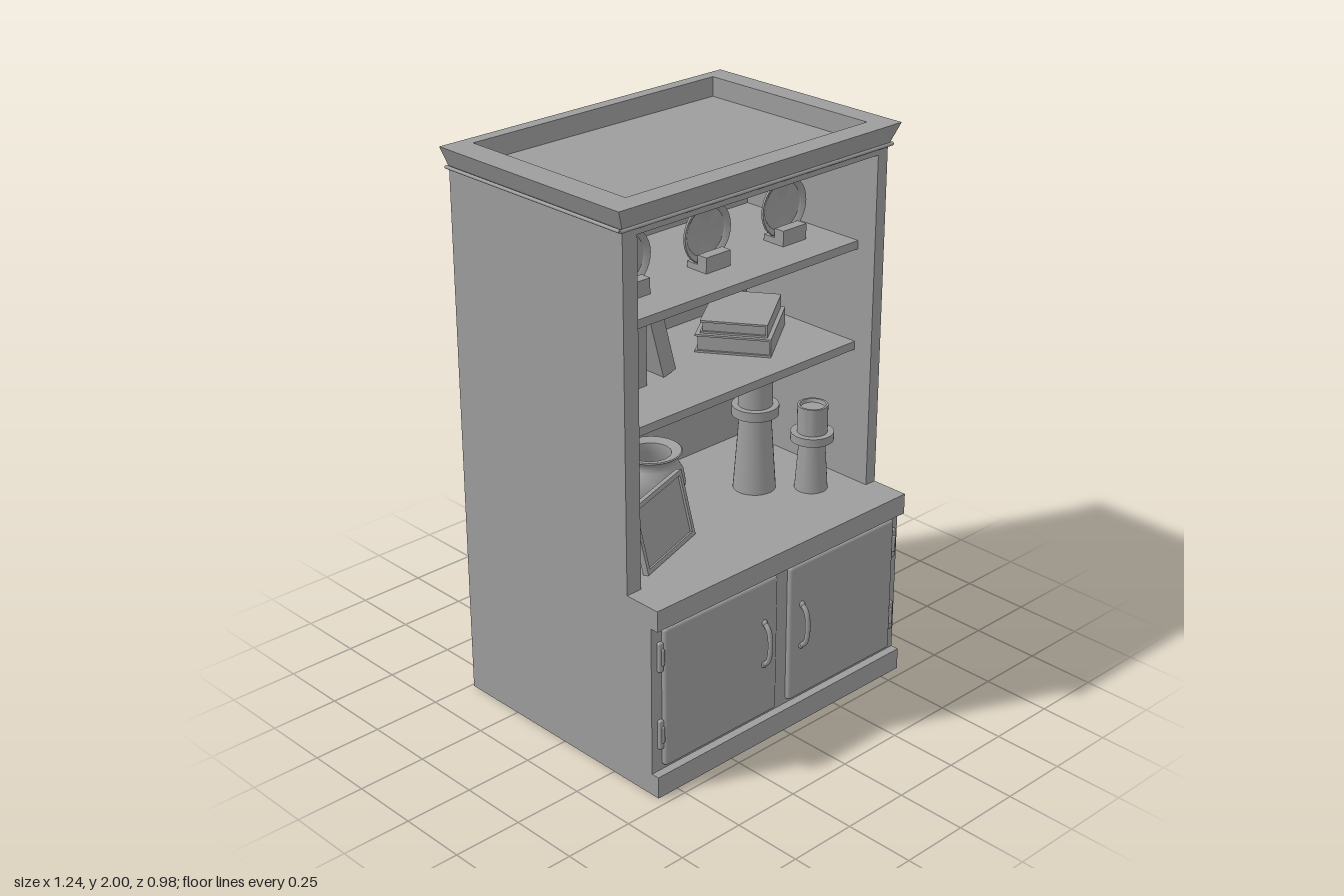
import * as THREE from 'three';
import { RoundedBoxGeometry } from 'three/addons/geometries/RoundedBoxGeometry.js';
import { toCreasedNormals } from 'three/addons/utils/BufferGeometryUtils.js';

const grey = new THREE.MeshStandardMaterial({ color: 0x9c9c9c });
grey.name = 'plain grey';

function add(parent, name, geometry, x = 0, y = 0, z = 0) {
  const mesh = new THREE.Mesh(geometry, grey);
  mesh.name = name;
  mesh.position.set(x, y, z);
  parent.add(mesh);
  return mesh;
}

// Box given by its limits on each axis
function box(parent, name, x0, x1, y0, y1, z0, z1) {
  return add(parent, name, new THREE.BoxGeometry(x1 - x0, y1 - y0, z1 - z0),
    (x0 + x1) / 2, (y0 + y1) / 2, (z0 + z1) / 2);
}

function lathe(parent, name, profile, x, y, z, crease = 0.6) {
  const g = new THREE.LatheGeometry(profile.map(p => new THREE.Vector2(...p)), 32);
  return add(parent, name, toCreasedNormals(g, crease), x, y, z);
}

// Rectangular rings joined by walls, each ring [x0, x1, z0, z1, y]
function ringLoft(rings) {
  const pos = [];
  const corners = ([x0, x1, z0, z1, y]) => [[x0, y, z1], [x1, y, z1], [x1, y, z0], [x0, y, z0]];
  for (let r = 0; r < rings.length - 1; r++) {
    const a = corners(rings[r]), b = corners(rings[r + 1]);
    for (let i = 0; i < 4; i++) {
      const j = (i + 1) % 4;
      pos.push(...a[i], ...a[j], ...b[j], ...a[i], ...b[j], ...b[i]);
    }
  }
  const g = new THREE.BufferGeometry();
  g.setAttribute('position', new THREE.Float32BufferAttribute(pos, 3));
  g.computeVertexNormals();
  return g;
}

function buildCabinet(root) {
  const g = new THREE.Group();
  g.name = 'cabinet';
  root.add(g);
  // Carcass
  box(g, 'leftSide', 0.54, 0.585, 0.7, 1.93, -0.49, 0.325);
  box(g, 'rightSide', -0.585, -0.525, 0.7, 1.93, -0.49, 0.325);
  box(g, 'back', -0.525, 0.54, 0.7, 1.93, -0.49, -0.27);
  box(g, 'topPanel', -0.525, 0.54, 1.9, 1.93, -0.27, 0.325);
  box(g, 'lowerCabinet', -0.585, 0.585, 0.08, 0.625, -0.49, 0.435);
  box(g, 'plinth', -0.585, 0.585, 0, 0.08, -0.49, 0.465);
  box(g, 'counter', -0.585, 0.585, 0.625, 0.7, -0.49, 0.465);
  for (const y of [1.19, 1.555]) box(g, 'shelf', -0.525, 0.54, y, y + 0.03, -0.27, 0.25);
  // Flared crown with a sunken top
  add(g, 'crown', ringLoft([
    [-0.585, 0.585, -0.49, 0.325, 1.928],
    [-0.59, 0.59, -0.49, 0.33, 1.935],
    [-0.62, 0.62, -0.49, 0.35, 2],
    [-0.52, 0.54, -0.445, 0.27, 2],
    [-0.52, 0.54, -0.445, 0.27, 1.928],
  ]));
  // Bead below the crown
  const bead = (len) => new THREE.CylinderGeometry(0.006, 0.006, len, 12);
  add(g, 'frontBead', bead(1.2), 0, 1.928, 0.332).rotation.z = Math.PI / 2;
  for (const s of [-1, 1]) add(g, 'sideBead', bead(0.82), s * 0.597, 1.928, -0.08).rotation.x = Math.PI / 2;
}

function buildDoors(root) {
  const arc = new THREE.CatmullRomCurve3([
    [0, -0.085, 0], [0, -0.06, 0.026], [0, 0, 0.036], [0, 0.06, 0.026], [0, 0.085, 0],
  ].map(p => new THREE.Vector3(...p)));
  for (const [cx, s] of [[-0.2825, -1], [0.2925, 1]]) {
    const g = new THREE.Group();
    g.name = s > 0 ? 'leftDoor' : 'rightDoor';
    root.add(g);
    add(g, 'doorPanel', new RoundedBoxGeometry(0.515, 0.515, 0.03, 3, 0.012), cx, 0.3525, 0.438);
    // Bowed handle on two flattened feet
    add(g, 'handle', new THREE.TubeGeometry(arc, 24, 0.009, 10), s * 0.09, 0.375, 0.447);
    for (const y of [-0.08, 0.08]) {
      add(g, 'handleFoot', new THREE.SphereGeometry(0.012, 12, 8), s * 0.09, 0.375 + y, 0.452);
    }
    // Hinges
    for (const y of [0.22, 0.51]) {
      add(g, 'hingePlate', new RoundedBoxGeometry(0.02, 0.11, 0.016, 3, 0.006), cx + s * 0.268, y, 0.44);
      add(g, 'hingePin', new THREE.CapsuleGeometry(0.007, 0.05, 4, 10), cx + s * 0.264, y, 0.447);
    }
  }
}

function buildPlates(root) {
  for (const x of [-0.34, 0.015, 0.37]) {
    const g = new THREE.Group();
    g.name = 'displayPlate';
    g.position.set(x, 1.585, 0.06);
    root.add(g);
    // Dish with raised rim, turned to face forward
    lathe(g, 'plate', [[0, -0.008], [0.07, -0.008], [0.105, 0.006], [0.103, 0.012], [0.086, 0.004], [0.083, 0], [0, 0]],
      0, 0.115, 0).rotation.x = Math.PI / 2;
    box(g, 'plateStand', -0.055, 0.055, 0, 0.022, -0.03, 0.06);
    box(g, 'standLip', -0.055, 0.055, 0.022, 0.055, 0.02, 0.06);
  }
}

// Book with covers around a recessed page block; spine on the front (+z)
function makeBook(parent, w, h, d, x, y, z) {
  const g = new THREE.Group();
  g.name = 'book';
  g.position.set(x, y, z);
  parent.add(g);
  const t = 0.007;
  for (const s of [-1, 1]) box(g, 'cover', s * (w / 2 - t / 2) - t / 2, s * (w / 2 - t / 2) + t / 2, 0, h, -d / 2, d / 2);
  box(g, 'spine', -w / 2 + t, w / 2 - t, 0, h, d / 2 - t, d / 2);
  box(g, 'pages', -w / 2 + t, w / 2 - t, 0.008, h - 0.008, -d / 2 + 0.008, d / 2 - t);
  return g;
}

function buildBooks(root) {
  const upright = [[-0.48, 0.088, 0.31], [-0.3975, 0.067, 0.293], [-0.329, 0.06, 0.28], [-0.257, 0.075, 0.28]];
  for (const [x, w, h] of upright) makeBook(root, w, h, 0.24, x, 1.22, -0.09);
  makeBook(root, 0.058, 0.275, 0.24, -0.108, 1.226, -0.1).rotation.z = 0.265;
  // Stack of two lying books
  for (const [x, y, w, d, t] of [[0.28, 1.22, 0.3, 0.26, 0.065], [0.282, 1.287, 0.285, 0.23, 0.046]]) {
    const g = new THREE.Group();
    g.name = 'lyingBook';
    g.position.set(x, y + t / 2, -0.04);
    g.rotation.y = 0.61;
    root.add(g);
    makeBook(g, t, w, d, w / 2, 0, 0).rotation.z = Math.PI / 2;
  }
}

function buildFrame(root) {
  const g = new THREE.Group();
  g.name = 'pictureFrame';
  g.position.set(-0.297, 0.703, 0.23);
  g.rotation.set(-0.23, 0.32, 0, 'YXZ');
  root.add(g);
  const outline = (w, y0, y1) => [[-w, y0], [w, y0], [w, y1], [-w, y1]].map(p => new THREE.Vector2(...p));
  const shape = new THREE.Shape(outline(0.162, 0, 0.235));
  shape.holes.push(new THREE.Path(outline(0.146, 0.016, 0.219).reverse()));
  add(g, 'frameBorder', new THREE.ExtrudeGeometry(shape, { depth: 0.02, bevelEnabled: false }), 0, 0, -0.02);
  box(g, 'framePicture', -0.148, 0.148, 0.014, 0.221, -0.018, -0.008);
  // Easel leg
  const leg = box(g, 'frameLeg', -0.025, 0.025, -0.19, 0, -0.006, 0);
  leg.geometry.translate(0, -0.095, 0);
  leg.position.set(0, 0.19, -0.02);
  leg.rotation.x = 0.45;
}

function buildVessels(root) {
  // Round pot with flared lip
  const half = [[0.065, 0], [0.095, 0.03], [0.115, 0.07], [0.12, 0.105], [0.113, 0.145], [0.095, 0.175], [0.088, 0.19], [0.094, 0.205]];
  lathe(root, 'pot', [[0, 0], ...half, [0.11, 0.218], [0.106, 0.221], [0.072, 0.212], [0.07, 0.18],
    [0.09, 0.14], [0.095, 0.09], [0.06, 0.015], [0, 0.015]], -0.12, 0.7, -0.065, 0.9);
  // Candle holders: tapered stem, collar and candle
  const holders = [
    { x: 0.255, z: 0.06, base: 0.075, neck: 0.055, collar: 0.082, wax: 0.06, y1: 0.28, y2: 0.315, y3: 0.425 },
    { x: 0.393, z: 0.2, base: 0.058, neck: 0.045, collar: 0.075, wax: 0.053, y1: 0.185, y2: 0.215, y3: 0.315 },
  ];
  for (const h of holders) {
    lathe(root, 'candleHolder', [[0, 0], [h.base, 0], [h.neck, h.y1], [h.collar, h.y1], [h.collar, h.y2], [0, h.y2]], h.x, 0.7, h.z);
    lathe(root, 'candle', [[h.wax, h.y2], [h.wax, h.y3], [h.wax - 0.008, h.y3], [h.wax - 0.012, h.y3 - 0.012], [0, h.y3 - 0.012]], h.x, 0.7, h.z);
  }
}

export function createModel() {
  const root = new THREE.Group();
  root.name = 'hutch';
  buildCabinet(root);
  buildDoors(root);
  buildPlates(root);
  buildBooks(root);
  buildFrame(root);
  buildVessels(root);
  return root;
}
